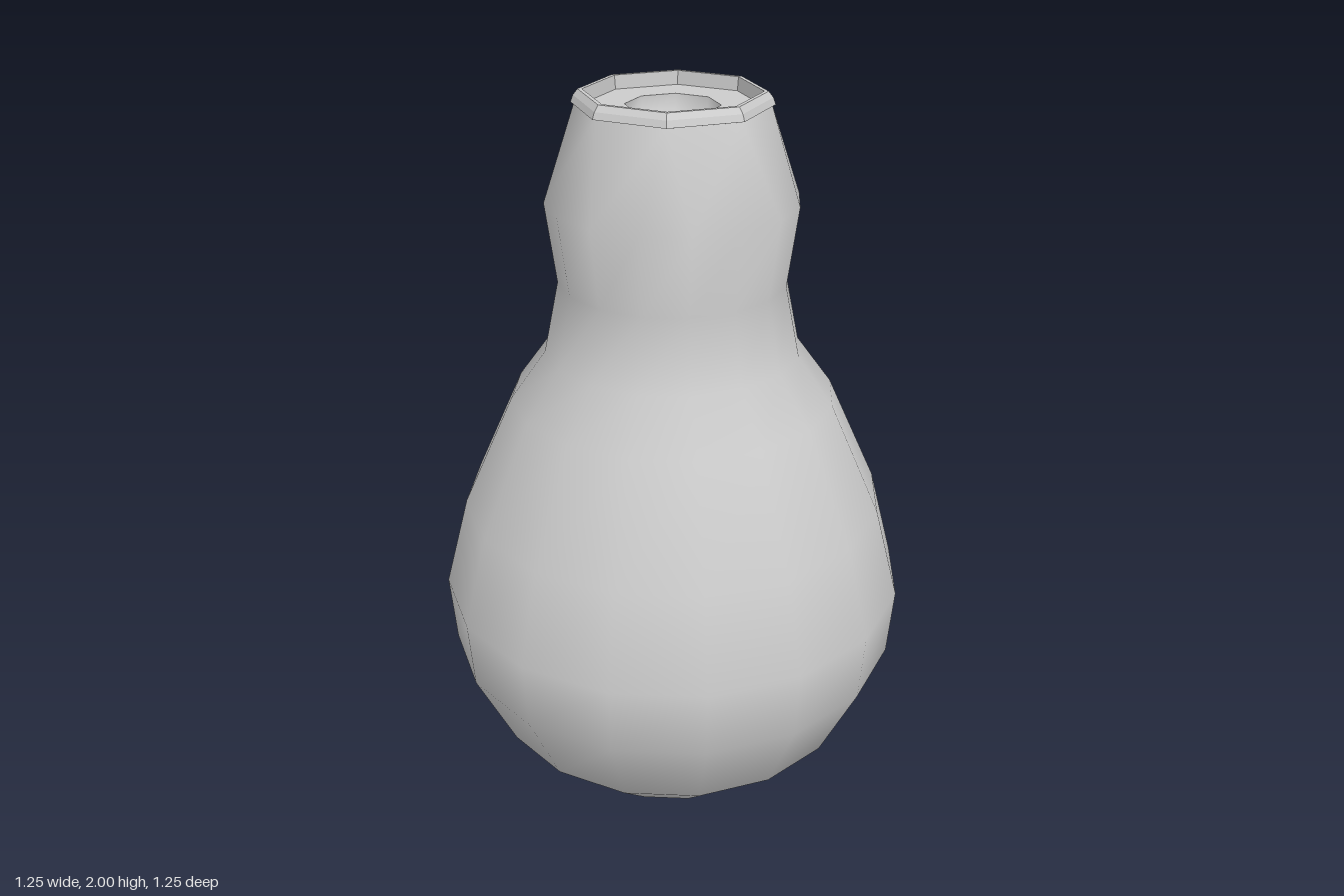
import * as THREE from 'three';
import { mergeVertices } from 'three/addons/utils/BufferGeometryUtils.js';

const SIDES = 16;

// A ring is [y, apothem, sides]; eight-sided rings pair up the sixteen columns.
function ringPoint([y, apothem, sides], i) {
  const step = (2 * Math.PI) / sides;
  const column = Math.floor(((i % SIDES) * sides) / SIDES);
  const angle = (column + 0.5) * step;
  const r = apothem / Math.cos(step / 2);
  return new THREE.Vector3(Math.sin(angle) * r, y, Math.cos(angle) * r);
}

// Skin between successive rings, smooth or faceted.
function loft(rings, smooth) {
  const points = [];
  const triangle = (a, b, c) => {
    const area = b.clone().sub(a).cross(c.clone().sub(a)).length();
    if (area > 1e-8) points.push(a, b, c);
  };
  for (let k = 0; k < rings.length - 1; k++) {
    for (let i = 0; i < SIDES; i++) {
      const a = ringPoint(rings[k], i), b = ringPoint(rings[k], i + 1);
      const c = ringPoint(rings[k + 1], i + 1), d = ringPoint(rings[k + 1], i);
      triangle(a, b, c);
      triangle(a, c, d);
    }
  }
  let geometry = new THREE.BufferGeometry().setFromPoints(points);
  if (smooth) geometry = mergeVertices(geometry, 1e-4);
  geometry.computeVertexNormals();
  return geometry;
}

export function createModel() {
  const group = new THREE.Group();
  const grey = new THREE.MeshStandardMaterial({ color: 0xcccccc });
  grey.name = 'grey';

  const add = (name, rings, smooth) => {
    const mesh = new THREE.Mesh(loft(rings, smooth), grey);
    mesh.name = name;
    group.add(mesh);
  };

  // Round belly and waisted neck, narrowing from sixteen sides to eight
  add('body', [
    [0, 0, 16], [0, 0.15, 16], [0.055, 0.315, 16], [0.23, 0.505, 16],
    [0.46, 0.612, 16], [0.65, 0.626, 16], [0.9, 0.56, 16], [1.2, 0.425, 16],
    [1.33, 0.332, 16], [1.52, 0.293, 16], [1.73, 0.32, 16], [1.97, 0.224, 8],
  ], true);

  // Octagonal lip around the mouth, with its inner wall
  add('rim', [
    [1.965, 0.222, 8], [1.968, 0.233, 8], [1.985, 0.227, 8],
    [2, 0.216, 8], [2, 0.206, 8], [1.965, 0.203, 8],
  ], false);

  // Flat plate inside the lip
  add('mouthPlate', [[1.965, 0.204, 8], [1.965, 0.11, 8]], false);

  // Recess in the middle of the plate
  add('centreHole', [[1.965, 0.11, 8], [1.9, 0.105, 8], [1.9, 0, 8]], true);

  return group;
}
